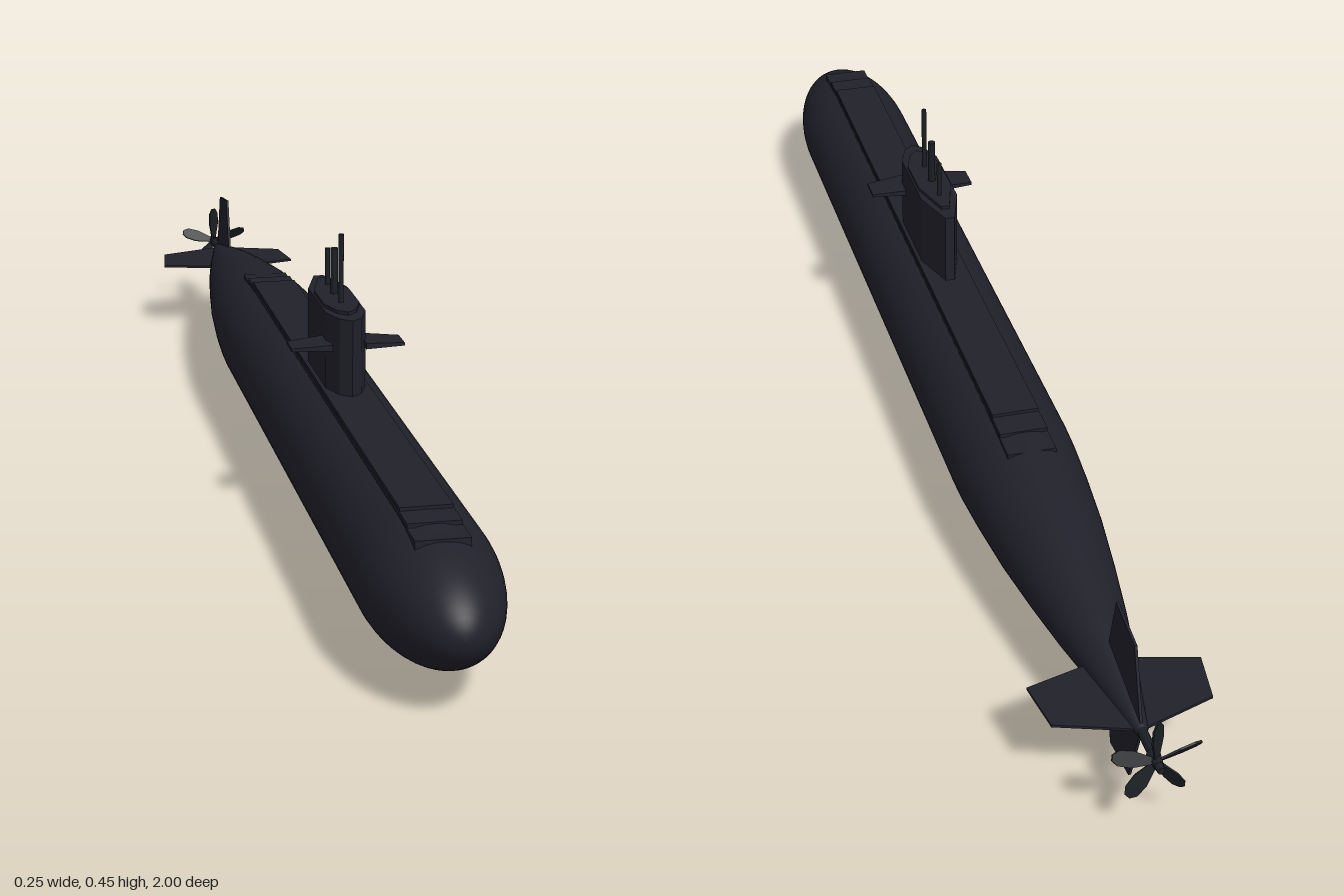
import * as THREE from 'three';

const AXIS = 0.123; // height of the hull centreline
const R = 0.095;    // hull radius

export function createModel() {
  const hullPaint = new THREE.MeshStandardMaterial({ color: 0x21212b });
  hullPaint.name = 'hullPaint';
  const darkMetal = new THREE.MeshStandardMaterial({ color: 0x1b1e23 });
  darkMetal.name = 'darkMetal';

  const model = new THREE.Group();
  model.name = 'submarine';
  const add = (name, geometry, material, x = 0, y = 0, z = 0, parent = model) => {
    const mesh = new THREE.Mesh(geometry, material);
    mesh.name = name;
    mesh.position.set(x, y, z);
    parent.add(mesh);
    return mesh;
  };

  // Hull: tapered tail, straight middle, elliptical nose
  const profile = [[0, -0.925], [0.009, -0.92], [0.017, -0.88], [0.034, -0.8], [0.052, -0.7],
    [0.067, -0.6], [0.08, -0.5], [0.089, -0.4], [0.0935, -0.33], [R, -0.28], [R, 0], [R, 0.4], [R, 0.78]]
    .map(([r, z]) => new THREE.Vector2(r, z));
  for (let i = 1; i <= 16; i++) {
    const a = (i / 16) * Math.PI / 2;
    profile.push(new THREE.Vector2(Math.max(0, R * Math.cos(a)), 0.78 + 0.22 * Math.sin(a)));
  }
  add('hull', new THREE.LatheGeometry(profile, 48).rotateX(Math.PI / 2), hullPaint, 0, AXIS, 0);

  // Deck casing: nested slabs that form steps at both ends
  [[0.036, 0.222, 0.79, -0.31], [0.0365, 0.217, 0.835, -0.355], [0.037, 0.211, 0.88, -0.4]]
    .forEach(([halfWidth, top, front, back]) => {
      add('deckSlab', new THREE.BoxGeometry(halfWidth * 2, top - 0.19, front - back), hullPaint,
        0, (top + 0.19) / 2, (front + back) / 2);
    });

  // Sail and its cap: faceted foil outline raised along y
  const foil = (front, back, w, height) => {
    const shape = new THREE.Shape([[0, front], [-w * 0.55, front - 0.014], [-w, front - 0.05],
      [-w, back + 0.07], [-w * 0.25, back], [w * 0.25, back], [w, back + 0.07],
      [w, front - 0.05], [w * 0.55, front - 0.014]].map(([x, z]) => new THREE.Vector2(x, -z)));
    return new THREE.ExtrudeGeometry(shape, { depth: height, bevelEnabled: false }).rotateX(-Math.PI / 2);
  };
  add('sail', foil(0.335, 0.08, 0.03, 0.128), hullPaint, 0, 0.21, 0);
  add('sailCap', foil(0.305, 0.11, 0.027, 0.006), hullPaint, 0, 0.337, 0);

  // Masts: tallest in front
  [[0.25, 0.447, 0.004], [0.2, 0.413, 0.006], [0.15, 0.4, 0.004]].forEach(([z, top, r]) => {
    add('mast', new THREE.CylinderGeometry(r, r, top - 0.33, 12), darkMetal, 0, (top + 0.33) / 2, z);
  });

  // Sail planes: thinner and shorter towards the tip
  for (const side of [-1, 1]) {
    const plane = new THREE.BoxGeometry(0.06, 0.009, 0.056);
    const p = plane.attributes.position;
    for (let i = 0; i < p.count; i++) {
      if (p.getX(i) * side > 0) {
        p.setZ(i, p.getZ(i) * 0.72);
        if (p.getY(i) > 0) p.setY(i, 0);
      }
    }
    plane.computeVertexNormals();
    add(side > 0 ? 'leftSailPlane' : 'rightSailPlane', plane, hullPaint, side * 0.055, 0.2915, 0.285);
  }

  // Tail fins: four thin plates in a cross
  const finShape = new THREE.Shape([[0, -0.77], [0, -0.92], [0.112, -0.882], [0.123, -0.803]]
    .map(([r, z]) => new THREE.Vector2(r, z)));
  const finGeometry = new THREE.ExtrudeGeometry(finShape, { depth: 0.004, bevelEnabled: false })
    .translate(0, 0, -0.002).rotateX(Math.PI / 2);
  for (let i = 0; i < 4; i++) {
    add('tailFin', finGeometry, hullPaint, 0, AXIS, 0).rotation.z = i * Math.PI / 2;
  }

  // Propeller: shaft, hub and five pitched blades
  const propeller = new THREE.Group();
  propeller.name = 'propeller';
  propeller.position.set(0, AXIS, -0.98);
  model.add(propeller);
  add('shaft', new THREE.CylinderGeometry(0.007, 0.007, 0.08, 16).rotateX(Math.PI / 2), darkMetal, 0, 0, 0.03, propeller);
  add('hub', new THREE.CylinderGeometry(0.01, 0.005, 0.034, 16).rotateX(Math.PI / 2), darkMetal, 0, 0, -0.003, propeller);
  const bladeShape = new THREE.Shape([[-0.004, 0.004], [0.004, 0.004], [0.011, 0.035], [0.01, 0.055],
    [0.004, 0.064], [-0.004, 0.064], [-0.01, 0.055], [-0.011, 0.035]].map(([x, y]) => new THREE.Vector2(x, y)));
  const bladeGeometry = new THREE.ExtrudeGeometry(bladeShape, { depth: 0.003, bevelEnabled: false })
    .translate(0, 0, -0.0015).rotateY(0.6);
  for (let i = 0; i < 5; i++) {
    add('blade', bladeGeometry, darkMetal, 0, 0, 0, propeller).rotation.z = i * Math.PI * 2 / 5;
  }
  return model;
}
